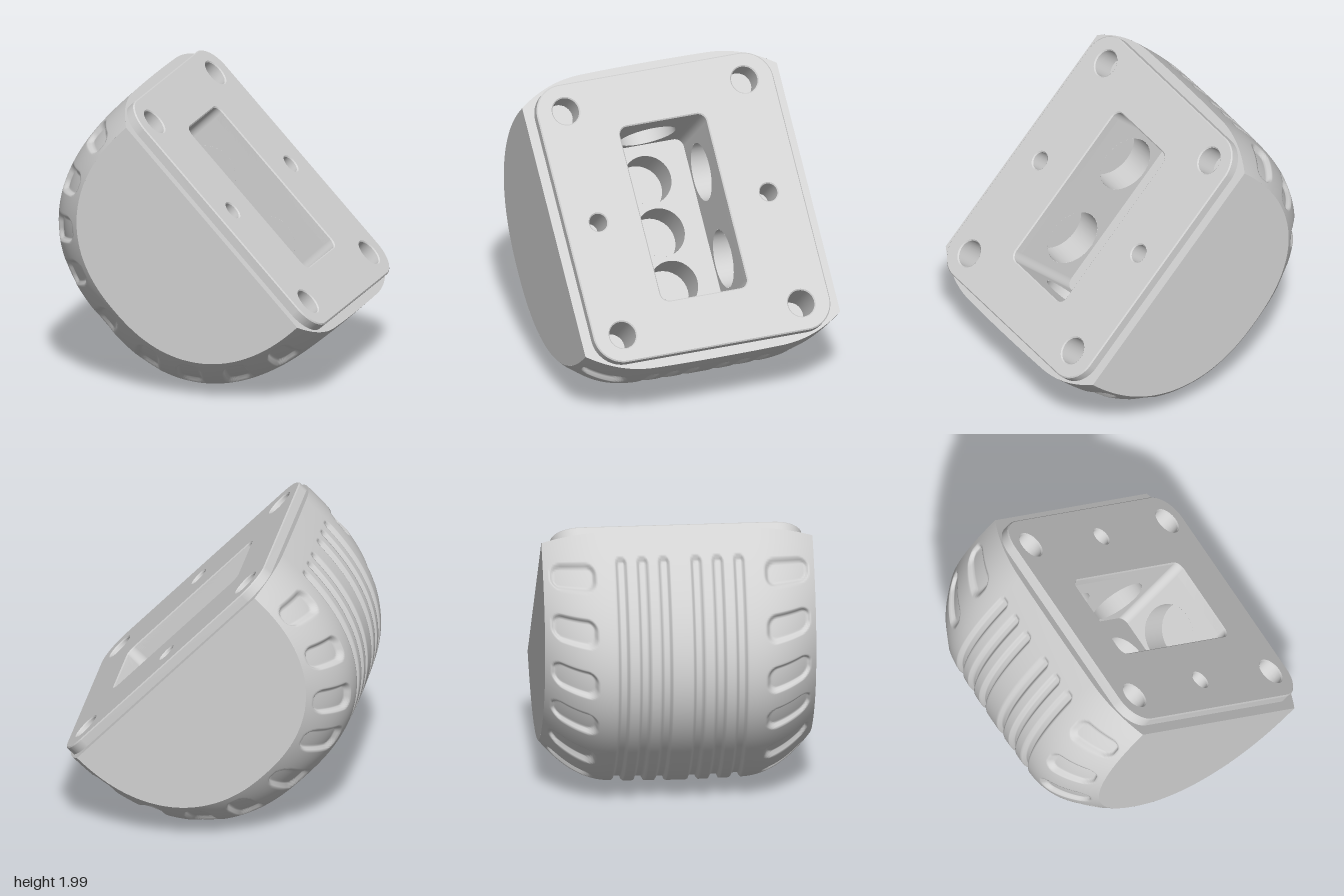
import * as THREE from 'three';
import { toCreasedNormals } from 'three/addons/utils/BufferGeometryUtils.js';

const grey = new THREE.MeshStandardMaterial({ color: 0xd2d2d2, side: THREE.DoubleSide });
grey.name = 'grey';

const HALF_Z = 0.92, LIP = 0.068, FLOOR = -0.545, BORE_Y = -0.318;
const POCKET = { x: 0.622, z: 0.312, r: 0.06 };

function add(parent, name, geometry, x = 0, y = 0, z = 0) {
  const mesh = new THREE.Mesh(geometry, grey);
  mesh.name = name;
  mesh.position.set(x, y, z);
  parent.add(mesh);
  return mesh;
}

// Rounded rectangle, half sizes hx and hy
function roundedRect(hx, hy, r, Kind = THREE.Path) {
  const p = new Kind();
  p.absarc(hx - r, hy - r, r, 0, Math.PI / 2);
  p.absarc(-hx + r, hy - r, r, Math.PI / 2, Math.PI);
  p.absarc(-hx + r, -hy + r, r, Math.PI, Math.PI * 1.5);
  p.absarc(hx - r, -hy + r, r, Math.PI * 1.5, Math.PI * 2);
  p.closePath();
  return p;
}

function circle(x, y, r) {
  return new THREE.Path().absarc(x, y, r, 0, Math.PI * 2);
}

// Half-oval outline; s = 0 at the middle of the barrel, 1 at the flat sides
function outline(theta, s, inset = 0) {
  const e = 2 / (2.5 - 0.2 * s), c = Math.cos(theta), n = Math.max(0, Math.sin(theta));
  return [
    (1.054 - 0.164 * s - inset) * Math.sign(c) * Math.abs(c) ** e,
    -(1.24 - 0.29 * s - inset) * n ** e,
  ];
}

function sideInset(z) {
  const a = Math.abs(z), t = Math.max(0, (a - 0.44) / 0.48);
  return 0.13 * (a / HALF_Z) ** 2 + 0.87 * t ** 2.2;
}

const ramp = (d, width) => THREE.MathUtils.smoothstep(-d, 0, width);

const slotCentres = [11.5, 31, 52, 71.5, 90, 108.5, 128, 149, 168.5].map((deg) =>
  outline(THREE.MathUtils.degToRad(deg), 0.5));

// Depth of the long grooves and the rounded side slots
function recess(theta, z) {
  const a = Math.abs(z);
  if (a < 0.48) {
    const v = outline(theta, 0)[1];
    let depth = 0;
    for (const zc of [0.11, 0.255, 0.4]) {
      const d = Math.hypot(a - zc, Math.max(0, v + 0.235)) - 0.038;
      depth = Math.max(depth, 0.03 * ramp(d, 0.016));
    }
    return depth;
  }
  const [u, v] = outline(theta, 0.5);
  let nearest = 9;
  for (const [cu, cv] of slotCentres) nearest = Math.min(nearest, Math.hypot(u - cu, v - cv));
  const r = 0.075;
  const dx = nearest - 0.095 + r, dz = Math.abs(a - 0.725) - 0.155 + r;
  const d = Math.hypot(Math.max(dx, 0), Math.max(dz, 0)) + Math.min(Math.max(dx, dz), 0) - r;
  return 0.035 * ramp(d, 0.025);
}

// Curved shell from half-oval sections along z
function shellGeometry() {
  const half = [];
  for (let i = 0; i <= 50; i++) half.push(0.0094 * i);
  for (let i = 1; i <= 45; i++) half.push(0.47 + 0.01 * i);
  const rows = [...half.slice(1).reverse().map((z) => -z), ...half];
  const cols = 280, pos = [], index = [];
  rows.forEach((z, i) => {
    for (let j = 0; j <= cols; j++) {
      const theta = (Math.PI * j) / cols;
      pos.push(...outline(theta, sideInset(z), recess(theta, z)), z);
      if (i < rows.length - 1 && j < cols) {
        const a = i * (cols + 1) + j, b = a + cols + 1;
        index.push(a, b, a + 1, b, b + 1, a + 1);
      }
    }
  });
  const g = new THREE.BufferGeometry();
  g.setAttribute('position', new THREE.Float32BufferAttribute(pos, 3));
  g.setIndex(index);
  g.computeVertexNormals();
  return g;
}

// Flat upright wall drilled with round holes
function drilledWall(halfWidth, top, holeXs, r) {
  const wall = new THREE.Shape([[-halfWidth, FLOOR], [halfWidth, FLOOR], [halfWidth, top], [-halfWidth, top]]
    .map((p) => new THREE.Vector2(...p)));
  for (const x of holeXs) wall.holes.push(circle(x, BORE_Y, r));
  return new THREE.ShapeGeometry(wall, 32);
}

// Blind round hole going down from its mouth at the group's origin
function blindHole(parent, name, r, depth, x, y, z) {
  const hole = new THREE.Group();
  hole.name = name;
  hole.position.set(x, y, z);
  add(hole, 'holeWall', new THREE.CylinderGeometry(r, r, depth, 32, 1, true), 0, -depth / 2, 0);
  add(hole, 'holeFloor', new THREE.CircleGeometry(r, 32).rotateX(-Math.PI / 2), 0, -depth, 0);
  parent.add(hole);
  return hole;
}

export function createModel() {
  const model = new THREE.Group();
  model.name = 'halfBarrelBlock';
  // Tilted body: local y points out of the mounting face
  const body = new THREE.Group();
  body.name = 'body';
  body.position.set(0.2525, 1.2325, 0);
  body.rotation.z = THREE.MathUtils.degToRad(-46.7);
  model.add(body);

  add(body, 'curvedShell', shellGeometry());

  // Flat sides
  const sidePoints = [];
  for (let j = 0; j <= 96; j++) {
    sidePoints.push(new THREE.Vector2(...outline((Math.PI * j) / 96, 1)));
  }
  const side = new THREE.ShapeGeometry(new THREE.Shape(sidePoints));
  add(body, 'frontSide', side, 0, 0, HALF_Z);
  add(body, 'backSide', side.clone().rotateY(Math.PI), 0, 0, -HALF_Z);

  // Rim around the raised plate
  const right = [];
  for (let i = -40; i <= 40; i++) {
    const z = (HALF_Z * i) / 40;
    right.push(new THREE.Vector2(outline(0, sideInset(z))[0], z));
  }
  const left = right.map((p) => new THREE.Vector2(-p.x, p.y)).reverse();
  const rim = new THREE.Shape([...right, ...left]);
  rim.holes.push(roundedRect(0.975, 0.84, 0.19));
  add(body, 'rim', new THREE.ShapeGeometry(rim).rotateX(-Math.PI / 2));

  // Raised mounting plate with its openings
  const bolts = [];
  for (const x of [-0.8, 0.8]) for (const z of [-0.645, 0.645]) bolts.push([x, z, 0.093, x < 0 ? 0.165 : 0.3]);
  for (const z of [-0.615, 0.615]) bolts.push([0, z, 0.062, 0.25]);
  const plate = roundedRect(0.99, 0.852, 0.2, THREE.Shape);
  plate.holes.push(roundedRect(POCKET.x, POCKET.z, POCKET.r));
  for (const [x, z, r] of bolts) plate.holes.push(circle(x, z, r));
  const bevel = 0.008, top = LIP - bevel;
  const plateGeometry = new THREE.ExtrudeGeometry(plate, {
    depth: top, bevelEnabled: true, bevelThickness: bevel, bevelSize: bevel,
    bevelOffset: -bevel, bevelSegments: 1, curveSegments: 16,
  }).rotateX(-Math.PI / 2);
  add(body, 'mountingPlate', toCreasedNormals(plateGeometry, 0.5));
  for (const [x, z, r, depth] of bolts) blindHole(body, 'boltHole', r, depth, x, top, z);

  // Pocket: drilled walls, rounded corners and floor
  const { x: px, z: pz, r: pr } = POCKET;
  const height = top - FLOOR;
  for (const s of [-1, 1]) {
    add(body, 'pocketEndWall', drilledWall(pz - pr, top, [0], 0.2).rotateY(-s * Math.PI / 2), s * px);
    blindHole(body, 'endBore', 0.2, 0.2, s * px, BORE_Y, 0).rotation.z = s * Math.PI / 2;

    const bores = [-0.31, 0.31];
    const longWall = drilledWall(px - pr, top, bores, 0.2);
    if (s > 0) longWall.rotateY(Math.PI);
    add(body, 'pocketLongWall', longWall, 0, 0, s * pz);
    for (const x of bores) {
      blindHole(body, 'sideBore', 0.2, 0.2, x, BORE_Y, s * pz).rotation.x = -s * Math.PI / 2;
    }
  }
  [[1, 1], [1, -1], [-1, -1], [-1, 1]].forEach(([sx, sz], i) => {
    const corner = new THREE.CylinderGeometry(pr, pr, height, 8, 1, true, i * Math.PI / 2, Math.PI / 2);
    add(body, 'pocketCorner', corner, sx * (px - pr), FLOOR + height / 2, sz * (pz - pr));
  });
  const floor = roundedRect(px, pz, pr, THREE.Shape);
  for (const x of [-0.375, 0, 0.375]) {
    floor.holes.push(circle(x, 0, 0.17));
    blindHole(body, 'floorBore', 0.17, 0.25, x, FLOOR, 0);
  }
  add(body, 'pocketFloor', new THREE.ShapeGeometry(floor, 24).rotateX(-Math.PI / 2), 0, FLOOR, 0);

  return model;
}
